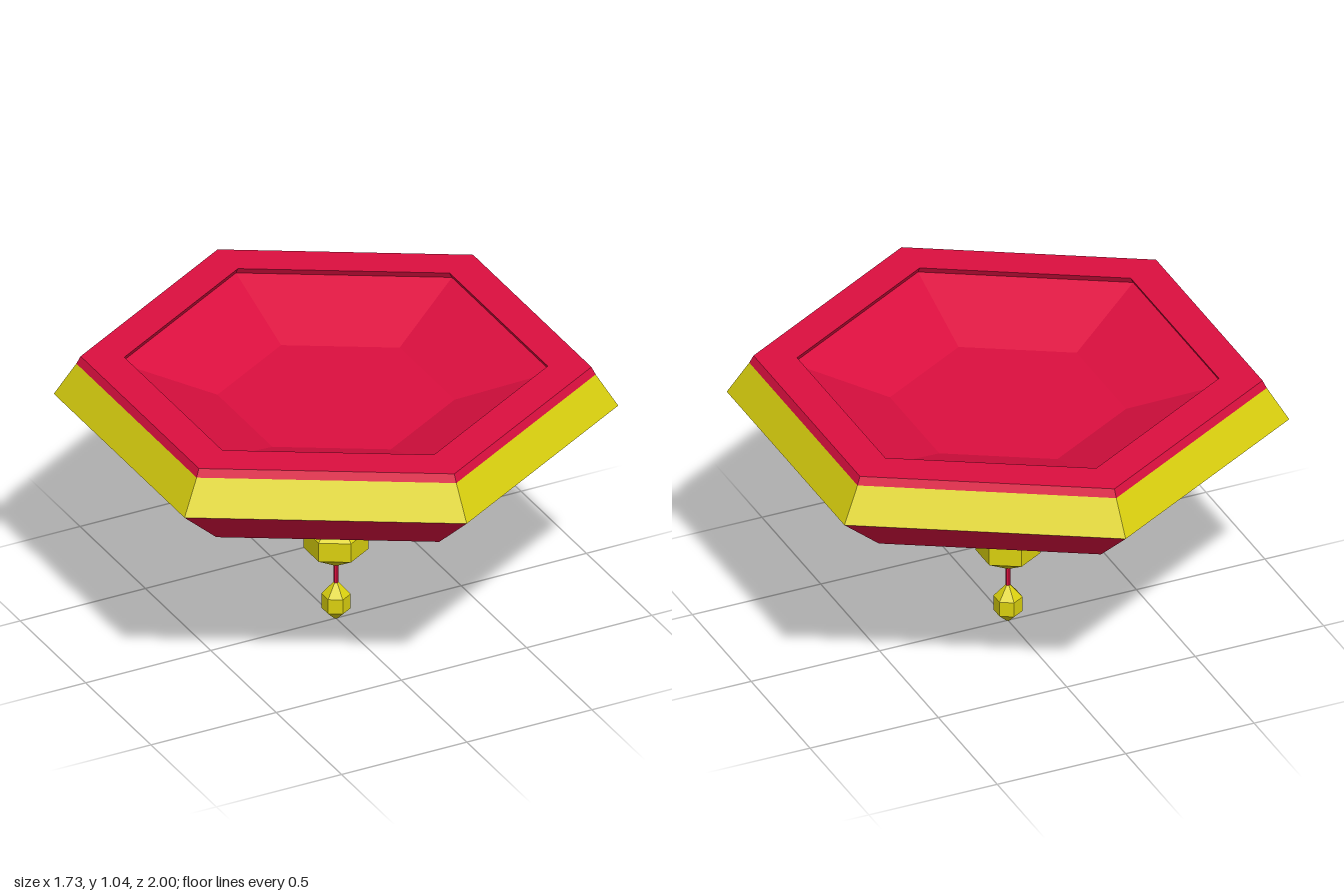
import * as THREE from 'three';

const SIDES = 6;

export function createModel() {
  const red = new THREE.MeshStandardMaterial({ color: 0xdc0f3f, flatShading: true });
  const gold = new THREE.MeshStandardMaterial({ color: 0xdcd20f, flatShading: true });
  const model = new THREE.Group();

  // Six-sided turned part; each profile is [radius, height] along the outside
  const addTurned = (name, material, profile) => {
    const points = profile.map(([r, y]) => new THREE.Vector2(r, y));
    const mesh = new THREE.Mesh(new THREE.LatheGeometry(points, SIDES), material);
    mesh.name = name;
    model.add(mesh);
  };

  // Faceted underside of the bowl
  addTurned('bowlUnderside', red, [[0, 0.5], [0.1, 0.5], [0.5, 0.59], [0.79, 0.71], [1, 0.89]]);

  // Sloping outer band
  addTurned('rimBand', gold, [[1, 0.89], [0.92, 1.015]]);

  // Rim top with an undercut lip, then the hollow and its flat floor
  addTurned('rimAndHollow', red, [
    [0.92, 1.015], [0.905, 1.045], [0.75, 1.045], [0.765, 1.02], [0.42, 0.9], [0, 0.9],
  ]);

  // Taper joining the bowl to the large bead
  addTurned('neck', red, [[0.022, 0.41], [0.095, 0.5]]);

  // Hanging beads and the cord between them
  addTurned('largeBead', gold, [[0, 0.22], [0.012, 0.22], [0.115, 0.285], [0.115, 0.36], [0.022, 0.425], [0, 0.425]]);
  addTurned('cord', red, [[0.009, 0.14], [0.009, 0.23]]);
  addTurned('smallBead', gold, [[0, 0], [0.008, 0.002], [0.052, 0.042], [0.052, 0.1], [0.009, 0.148], [0, 0.148]]);

  return model;
}
